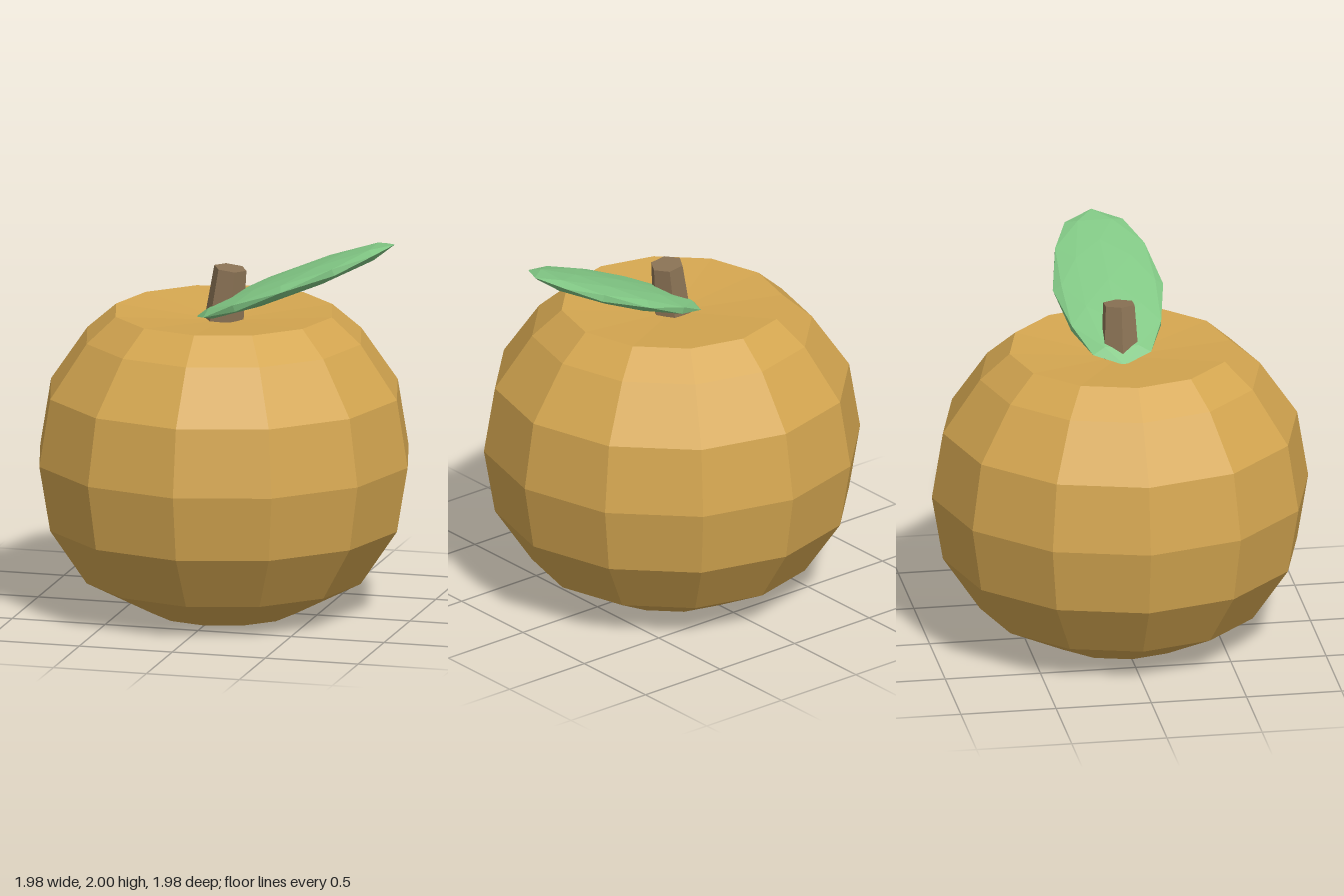
import * as THREE from 'three';

const mat = (name, color) => {
  const m = new THREE.MeshStandardMaterial({ color, flatShading: true });
  m.name = name;
  return m;
};

export function createModel() {
  const model = new THREE.Group();
  const add = (name, geometry, material) => {
    const mesh = new THREE.Mesh(geometry, material);
    mesh.name = name;
    model.add(mesh);
    return mesh;
  };

  // Twelve-sided fruit with a flat base and a shallow dimple on top
  const profile = [
    [0, 0], [0.385, 0], [0.735, 0.18], [0.93, 0.47], [0.988, 0.815],
    [0.93, 1.17], [0.735, 1.455], [0.58, 1.59], [0, 1.54],
  ].map(([r, y]) => new THREE.Vector2(r, y));
  add('fruit', new THREE.LatheGeometry(profile, 12), mat('golden skin', 0xd4a650));

  // Tapered hexagonal stem, leaning towards the leaf
  const stemGeometry = new THREE.CylinderGeometry(0.087, 0.105, 0.29, 6);
  stemGeometry.rotateY(Math.PI / 6);
  const stem = add('stem', stemGeometry, mat('brown bark', 0x8b7355));
  stem.position.set(0.017, 1.675, 0);
  stem.rotation.z = -0.12;

  // Leaf: a flattened faceted ball, tilted upwards
  const leafGeometry = new THREE.IcosahedronGeometry(1, 1);
  leafGeometry.scale(0.58, 0.058, 0.29);
  const leaf = add('leaf', leafGeometry, mat('leaf green', 0x81c784));
  leaf.position.set(0.385, 1.774, 0);
  leaf.rotation.z = 0.4;

  return model;
}
